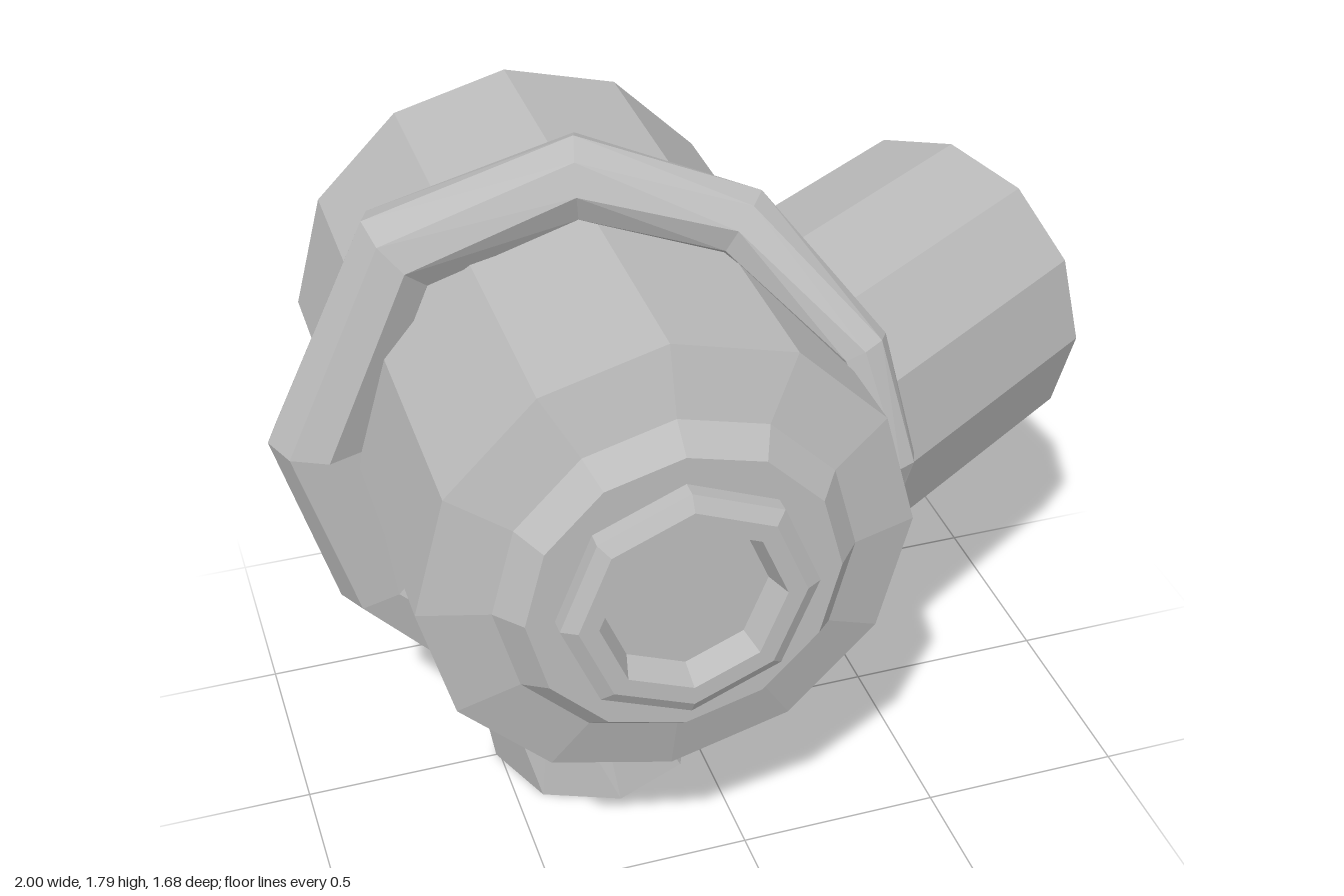
import * as THREE from 'three';

const grey = new THREE.MeshStandardMaterial({ color: 0xbcbcbc, flatShading: true });
grey.name = 'plain grey';

// Solid of revolution around z from [radius, z] points, listed from back to front
function turned(name, points, sides) {
  const geo = new THREE.LatheGeometry(points.map(([r, z]) => new THREE.Vector2(r, z)), sides);
  geo.rotateX(Math.PI / 2);
  const mesh = new THREE.Mesh(geo, grey);
  mesh.name = name;
  return mesh;
}

// Stepped shoulder and recessed hub that close one end of a drum
function endCap(name, shoulder, hub) {
  const cap = new THREE.Group();
  cap.name = name;
  cap.add(turned('shoulder', shoulder, 12), turned('hub', hub, 8));
  return cap;
}

// Tapered octagonal limb through sections [x, y, z, radius]
function limb(name, sections, sides) {
  const centres = sections.map(([x, y, z]) => new THREE.Vector3(x, y, z));
  const last = centres.length - 1;
  const pos = [];
  const index = [];
  const zAxis = new THREE.Vector3(0, 0, 1);
  centres.forEach((c, i) => {
    const t = new THREE.Vector3();
    if (i > 0) t.add(c.clone().sub(centres[i - 1]).normalize());
    if (i < last) t.add(centres[i + 1].clone().sub(c).normalize());
    if (i === 0) t.set(0, 1, 0); // flat foot
    t.normalize();
    const u = zAxis.clone().cross(t).normalize();
    const v = t.clone().cross(u);
    for (let k = 0; k < sides; k++) {
      const a = (k / sides) * Math.PI * 2;
      const p = c.clone()
        .addScaledVector(u, Math.cos(a) * sections[i][3])
        .addScaledVector(v, Math.sin(a) * sections[i][3]);
      pos.push(p.x, p.y, p.z);
    }
  });
  for (let i = 0; i < last; i++) {
    for (let k = 0; k < sides; k++) {
      const a = i * sides + k;
      const b = i * sides + ((k + 1) % sides);
      index.push(a, b, b + sides, a, b + sides, a + sides);
    }
  }
  // Closed ends
  for (let k = 1; k < sides - 1; k++) {
    index.push(0, k + 1, k);
    index.push(last * sides, last * sides + k, last * sides + k + 1);
  }
  const geo = new THREE.BufferGeometry();
  geo.setAttribute('position', new THREE.Float32BufferAttribute(pos, 3));
  geo.setIndex(index);
  geo.computeVertexNormals();
  const mesh = new THREE.Mesh(geo, grey);
  mesh.name = name;
  return mesh;
}

export function createModel() {
  const model = new THREE.Group();
  model.name = 'model';

  // Large drum lying along z, capped at both ends
  const largeDrum = new THREE.Group();
  largeDrum.name = 'largeDrum';
  largeDrum.position.set(-0.245, 1.04, -0.004);
  largeDrum.add(turned('drumBody', [[0.565, -0.673], [0.565, 0.673]], 12));
  for (const [name, turn] of [['frontCap', 0], ['backCap', Math.PI]]) {
    const cap = endCap(name,
      [[0.565, 0.673], [0.41, 0.718], [0.355, 0.782], [0.24, 0.782]],
      [[0.29, 0.76], [0.29, 0.82], [0.255, 0.84], [0.21, 0.84], [0.188, 0.775], [0, 0.775]]);
    cap.rotation.y = turn;
    largeDrum.add(cap);
  }
  model.add(largeDrum);

  // Small drum growing out of the side, turned towards the back
  const smallDrum = new THREE.Group();
  smallDrum.name = 'smallDrum';
  smallDrum.position.set(0.12, 1.04, 0.17);
  smallDrum.rotation.y = Math.atan2(0.845, -0.534);
  smallDrum.add(
    turned('drumBody', [[0, 0], [0.405, 0], [0.405, 0.783]], 12),
    endCap('outerCap',
      [[0.405, 0.783], [0.26, 0.813], [0.225, 0.86], [0.16, 0.86]],
      [[0.19, 0.845], [0.19, 0.887], [0.167, 0.9], [0.145, 0.9], [0.13, 0.86], [0, 0.86]]));
  model.add(smallDrum);

  // Foot and arm that wrap around the large drum and taper to a tip
  model.add(limb('wrappingArm', [
    [-0.25, 0, 0, 0.26],
    [-0.405, 0.375, 0, 0.18],
    [-0.75, 0.69, 0, 0.14],
    [-0.88, 1.08, 0, 0.12],
    [-0.67, 1.545, 0.01, 0.11],
    [-0.27, 1.69, 0.07, 0.1],
    [0.07, 1.59, 0.21, 0.085],
    [0.28, 1.345, 0.42, 0.065],
    [0.335, 1.09, 0.5, 0.055],
    [0.285, 0.79, 0.44, 0.048],
    [0.225, 0.65, 0.33, 0.04],
    [0.18, 0.55, 0.19, 0.03],
  ], 8));

  return model;
}
